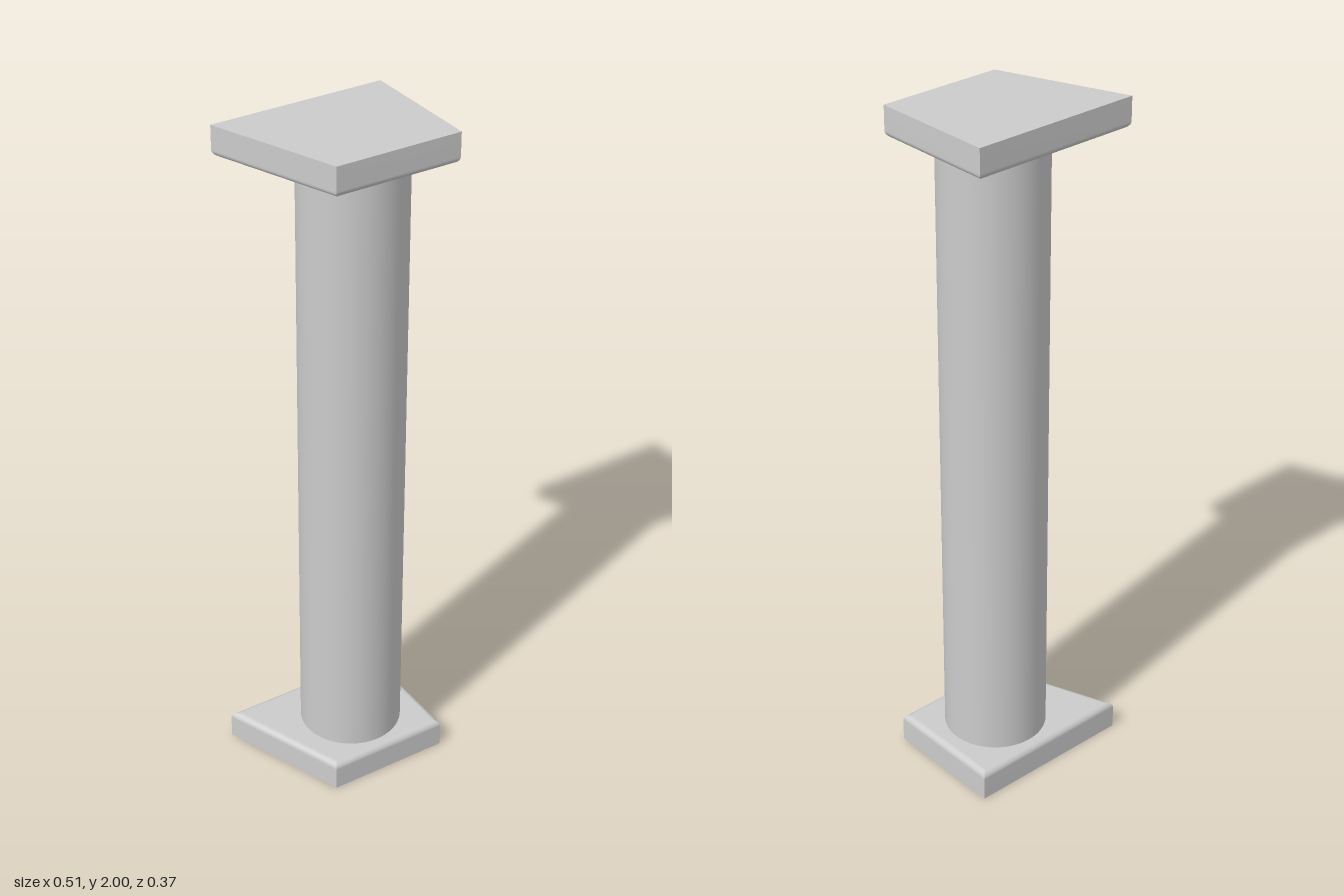
import * as THREE from 'three';

const HEIGHT = 2, SLAB = 0.087, EDGE = 0.018;
const HALF_X = 0.253, HALF_Z = 0.183;
const SLANT = 0.14 / (2 * HALF_Z); // x run of the slanted side per unit of z

// Trapezoid outline moved inward by d, counterclockwise seen from above
function outline(d) {
  const z = HALF_Z - d, right = HALF_X - d;
  const left = -HALF_X + SLANT * HALF_Z + d * Math.hypot(1, SLANT);
  return [[left - SLANT * z, -z], [left + SLANT * z, z], [right, z], [right, -z]];
}

// Slab with a sharp outer face and a rounded edge towards the column
function slabGeometry(upsideDown) {
  const steps = 6;
  const rings = [{ y: 0, pts: outline(0) }];
  for (let i = 0; i <= steps; i++) {
    const a = (i / steps) * Math.PI / 2;
    rings.push({ y: SLAB - EDGE + EDGE * Math.sin(a), pts: outline(EDGE * (1 - Math.cos(a))) });
  }
  const pos = [], index = [];
  const add = ([x, z], y) => pos.push(x, upsideDown ? HEIGHT - y : y, z) / 3 - 1;
  const tri = (a, b, c) => (upsideDown ? index.push(a, c, b) : index.push(a, b, c));

  // Sides: own vertices for each, so the corners stay sharp
  for (let s = 0; s < 4; s++) {
    const strip = rings.map(({ y, pts }) => [add(pts[s], y), add(pts[(s + 1) % 4], y)]);
    for (let i = 0; i < strip.length - 1; i++) {
      const [a, b] = strip[i], [d, c] = strip[i + 1];
      tri(a, b, c);
      tri(a, c, d);
    }
  }
  // Flat inner and outer faces
  const last = rings[rings.length - 1];
  const inner = last.pts.map((p) => add(p, last.y));
  const outer = rings[0].pts.map((p) => add(p, 0));
  for (let i = 1; i < 3; i++) {
    tri(inner[0], inner[i], inner[i + 1]);
    tri(outer[0], outer[i + 1], outer[i]);
  }
  const geo = new THREE.BufferGeometry();
  geo.setAttribute('position', new THREE.Float32BufferAttribute(pos, 3));
  geo.setIndex(index);
  geo.computeVertexNormals();
  return geo;
}

export function createModel() {
  const group = new THREE.Group();
  group.name = 'column';
  const material = new THREE.MeshStandardMaterial({ color: 0xcccccc });
  const part = (name, geometry) => {
    const mesh = new THREE.Mesh(geometry, material);
    mesh.name = name;
    group.add(mesh);
    return mesh;
  };

  part('base', slabGeometry(false));
  part('capital', slabGeometry(true));

  // Round shaft, set towards the square end of the slabs
  const shaft = part('shaft', new THREE.CylinderGeometry(0.148, 0.148, HEIGHT - 2 * SLAB, 64, 1, true));
  shaft.position.set(0.052, HEIGHT / 2, 0);

  return group;
}
